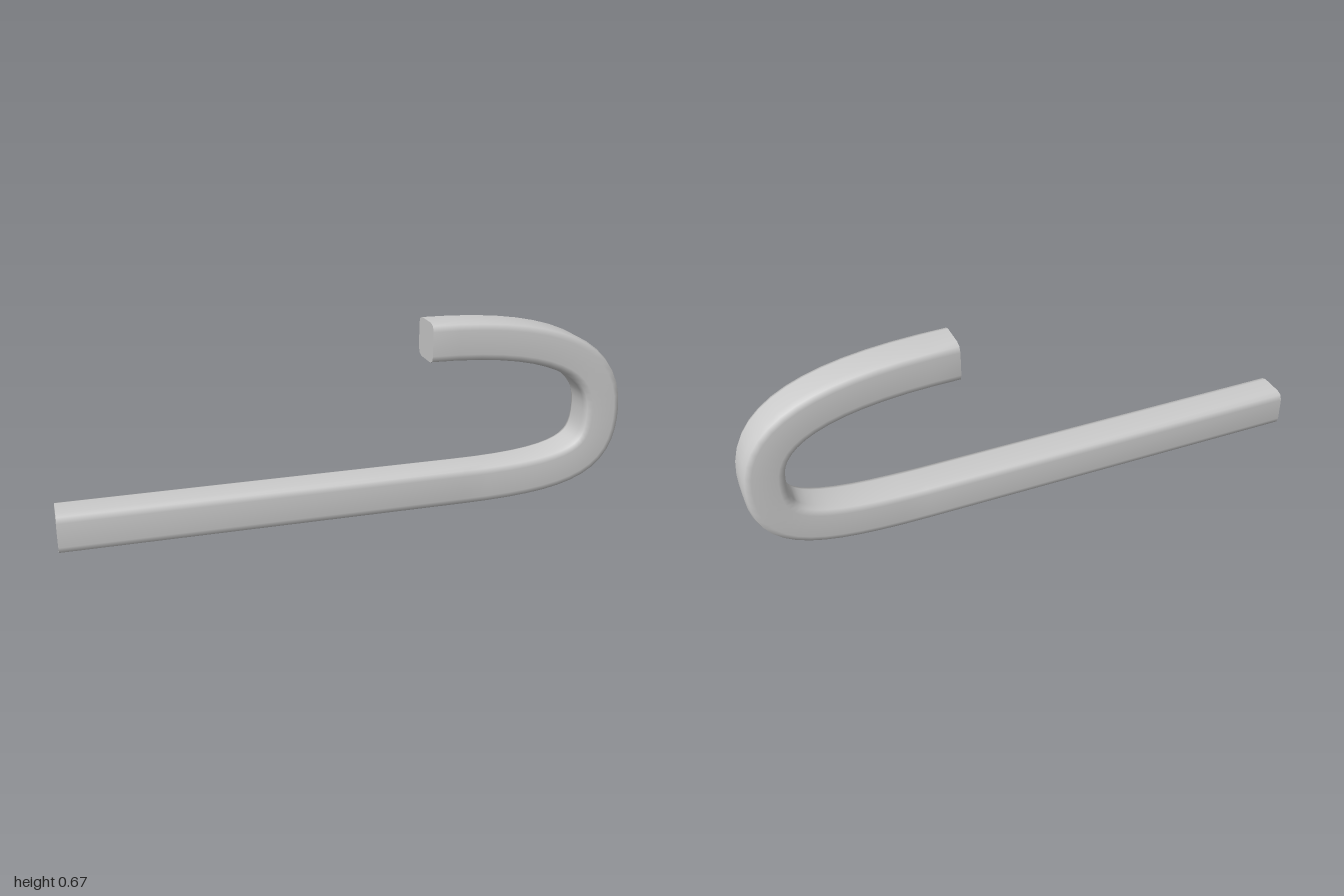
import * as THREE from 'three';

const HALF = 0.069;

// Centre line: straight shank, tight lower bend, wider upper bend
function centreLine() {
  const v = (x, y) => new THREE.Vector3(x, y, 0);
  const bends = [
    new THREE.CubicBezierCurve3(v(0.4, HALF), v(0.85, HALF), v(0.931, 0.13), v(0.931, 0.31)),
    new THREE.CubicBezierCurve3(v(0.931, 0.31), v(0.931, 0.5), v(0.74, 0.604), v(0.27, 0.604)),
  ];
  const frames = [{ p: v(-1, HALF), t: v(1, 0) }];
  const steps = 14;
  bends.forEach((bend, k) => {
    for (let i = k; i <= steps; i++) {
      frames.push({ p: bend.getPoint(i / steps), t: bend.getTangent(i / steps) });
    }
  });
  return frames;
}

// Square section with bevelled round corners, as [across, z] pairs
function section() {
  const corner = [[HALF, 0.042], [0.062, 0.062], [0.042, HALF]];
  const points = [];
  for (let q = 0; q < 4; q++) {
    const c = Math.round(Math.cos(q * Math.PI / 2));
    const s = Math.round(Math.sin(q * Math.PI / 2));
    for (const [a, b] of corner) points.push([a * c - b * s, a * s + b * c]);
  }
  return points;
}

function geometryFrom(positions, index) {
  const g = new THREE.BufferGeometry();
  g.setAttribute('position', new THREE.Float32BufferAttribute(positions, 3));
  g.setIndex(index);
  g.computeVertexNormals();
  return g;
}

export function createModel() {
  const group = new THREE.Group();
  group.name = 'hook';
  const material = new THREE.MeshStandardMaterial({ color: 0xcccccc });
  const add = (name, geometry) => {
    const mesh = new THREE.Mesh(geometry, material);
    mesh.name = name;
    group.add(mesh);
  };

  const profile = section();
  const n = profile.length;
  const rings = centreLine().map(({ p, t }) =>
    profile.flatMap(([a, z]) => [p.x - t.y * a, p.y + t.x * a, z]));

  // Bar skin, smooth along and around
  const index = [];
  for (let i = 0; i < rings.length - 1; i++) {
    for (let j = 0; j < n; j++) {
      const a = i * n + j, b = i * n + (j + 1) % n;
      index.push(a, b, a + n, b, b + n, a + n);
    }
  }
  add('bentBar', geometryFrom(rings.flat(), index));

  // Flat end caps
  const fan = [];
  for (let j = 1; j < n - 1; j++) fan.push(0, j, j + 1);
  add('shankEnd', geometryFrom(rings[0], [...fan].reverse()));
  add('hookEnd', geometryFrom(rings[rings.length - 1], fan));

  return group;
}
